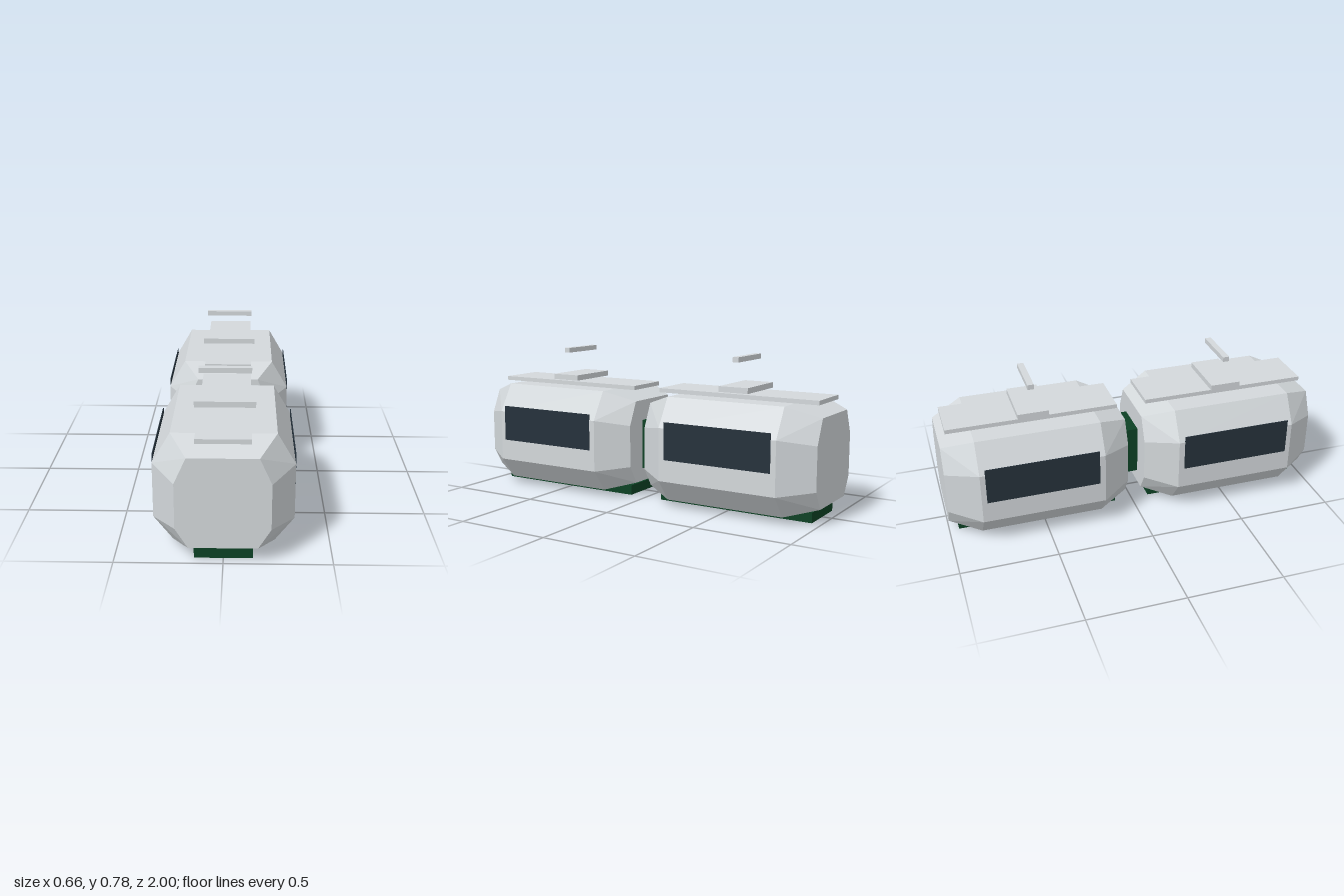
import * as THREE from 'three';
import { ConvexGeometry } from 'three/addons/geometries/ConvexGeometry.js';

const material = (name, color) => {
  const m = new THREE.MeshStandardMaterial({ color });
  m.name = name;
  return m;
};

// Box given by its min and max corners
function box(name, mat, [x0, y0, z0], [x1, y1, z1]) {
  const mesh = new THREE.Mesh(new THREE.BoxGeometry(x1 - x0, y1 - y0, z1 - z0), mat);
  mesh.position.set((x0 + x1) / 2, (y0 + y1) / 2, (z0 + z1) / 2);
  mesh.name = name;
  return mesh;
}

// Faceted hull: a wide octagon in the middle, a smaller octagon at each end
function bodyGeometry() {
  const wide = [[0.242, 0.573], [0.328, 0.425], [0.328, 0.153], [0.238, 0.037]];
  const small = [[0.161, 0.52], [0.217, 0.396], [0.217, 0.175], [0.158, 0.079]];
  const sections = [[0.045, small], [0.2, wide], [0.84, wide], [1, small]];
  const points = [];
  for (const [z, profile] of sections)
    for (const [x, y] of profile)
      for (const side of [-1, 1]) points.push(new THREE.Vector3(side * x, y, z));
  return new ConvexGeometry(points);
}

export function createModel() {
  const shell = material('shell grey', 0xd3d8db);
  const green = material('dark green', 0x0c4124);
  const glass = material('window glass', 0x25313b);
  const model = new THREE.Group();
  model.name = 'twoCarTram';

  const buildCar = (name) => {
    const car = new THREE.Group();
    car.name = name;
    const body = new THREE.Mesh(bodyGeometry(), shell);
    body.name = 'body';
    car.add(body);

    // Undercarriage
    car.add(box('undercarriage', green, [-0.135, 0, 0.095], [0.135, 0.052, 0.95]));

    // Roof plate, collector base and collector bar
    car.add(box('roofPlate', shell, [-0.125, 0.574, 0.078], [0.125, 0.596, 0.966]));
    car.add(box('collectorBase', shell, [-0.147, 0.604, 0.441], [0.147, 0.633, 0.602]));
    car.add(box('collectorBar', shell, [-0.127, 0.754, 0.507], [0.127, 0.78, 0.54]));

    // Side windows
    for (const side of [-1, 1]) {
      const pane = box('sideWindow', glass, [0.326, 0.265, 0.23], [0.33, 0.457, 0.813]);
      pane.position.x *= side;
      car.add(pane);
    }
    return car;
  };

  const frontCar = buildCar('frontCar');
  const rearCar = buildCar('rearCar');
  rearCar.rotation.y = Math.PI;
  model.add(frontCar, rearCar);

  // Link between the cars
  model.add(box('gangway', green, [-0.1, 0.15, -0.055], [0.1, 0.412, 0.055]));
  return model;
}
